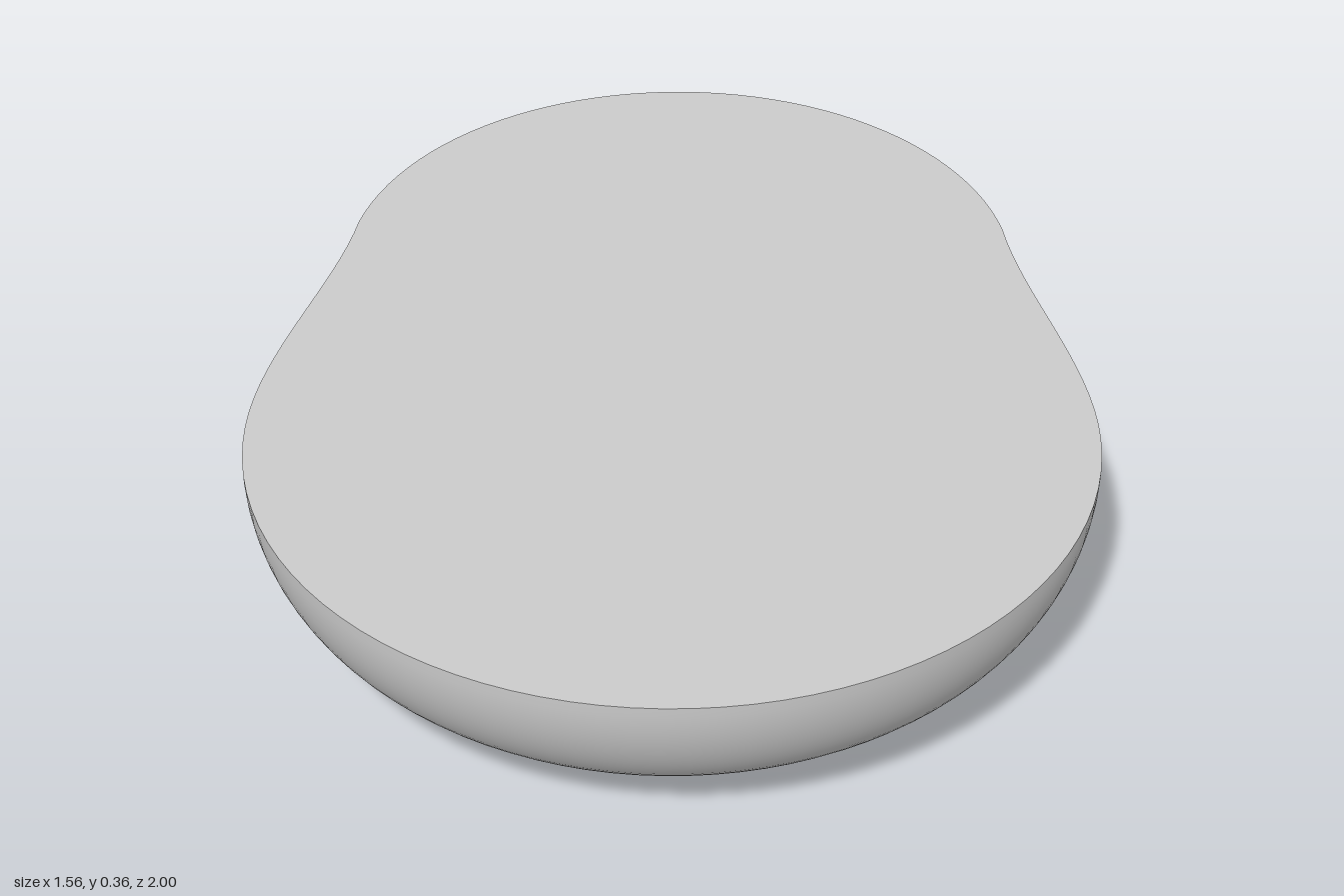
import * as THREE from 'three';

const TOP = 0.36, CZ = 0.22, R = 0.78;      // rim height, bowl centre and radius
const TAIL_Z = -0.35, TAIL_R = 0.65, JOIN = -0.48;
const FOOT_R = 0.29, FOOT_DEPTH = 0.022;
const { lerp, smoothstep } = THREE.MathUtils;

// Half width of the waist between the round bowl and the narrower tail
function waist(z) {
  const w0 = Math.sqrt(TAIL_R ** 2 - (JOIN - TAIL_Z) ** 2), L = CZ - JOIN, t = (z - JOIN) / L;
  return w0 * (2 * t ** 3 - 3 * t ** 2 + 1) + 0.12 * L * (t ** 3 - 2 * t ** 2 + t)
    + R * (3 * t ** 2 - 2 * t ** 3);
}

// Height of the rounded underside: a bowl in front that flattens and rises to the tail
function underside(x, z) {
  if (z >= CZ) {
    const u = Math.hypot(x, z - CZ) / R;
    return TOP * (1 - Math.sqrt(Math.max(0, 1 - u ** 4)));
  }
  const width = z > JOIN ? waist(z) : lerp(waist(JOIN), 0.53, (JOIN - z) / (1 + JOIN));
  const p = lerp(2, 4, smoothstep(z, -0.75, CZ));
  const floor = 0.07 * (1 - smoothstep(z, -1, 0));
  const u = Math.min(1, Math.abs(x) / width);
  return floor + (TOP - floor) * (1 - Math.sqrt(Math.max(0, 1 - u ** p)));
}

// Plan outline as [x, z], counter-clockwise from above, starting at the front
function planOutline() {
  const half = [];
  for (let i = 0; i < 24; i++) {
    const a = (i / 24) * Math.PI / 2;
    half.push([R * Math.sin(a), CZ + R * Math.cos(a)]);
  }
  for (let i = 0; i < 16; i++) {
    const z = lerp(CZ, JOIN, i / 16);
    half.push([waist(z), z]);
  }
  const a0 = Math.asin((TAIL_Z - JOIN) / TAIL_R);
  for (let i = 0; i <= 24; i++) {
    const a = lerp(a0, Math.PI / 2, i / 24);
    half.push([TAIL_R * Math.cos(a), TAIL_Z - TAIL_R * Math.sin(a)]);
  }
  const mirrored = half.slice(1, -1).reverse().map(([x, z]) => [-x, z]);
  return [...half, ...mirrored];
}

// Skin closed rings of [x, y, z] points
function loft(name, rings, material) {
  const n = rings[0].length, index = [];
  for (let j = 0; j < rings.length - 1; j++) {
    for (let i = 0; i < n; i++) {
      const k = (i + 1) % n;
      const a = j * n + i, b = j * n + k, c = b + n, d = a + n;
      index.push(a, b, c, a, c, d);
    }
  }
  const geometry = new THREE.BufferGeometry();
  geometry.setAttribute('position', new THREE.Float32BufferAttribute(rings.flat(2), 3));
  geometry.setIndex(index);
  geometry.computeVertexNormals();
  const mesh = new THREE.Mesh(geometry, material);
  mesh.name = name;
  return mesh;
}

export function createModel() {
  const group = new THREE.Group();
  group.name = 'roundedBase';
  const material = new THREE.MeshStandardMaterial({ color: 0xcccccc });
  const outline = planOutline();

  // Circle of the recessed foot, sampled along the same rays as the outline
  const foot = outline.map(([x, z]) => {
    const d = Math.hypot(x, z - CZ);
    return [x / d * FOOT_R, CZ + (z - CZ) / d * FOOT_R];
  });
  const flat = (pts, y) => pts.map(([x, z]) => [x, y, z]);
  const centre = (y) => outline.map(() => [0, y, CZ]);

  // Underside rings from the foot to the rim, closer together near the rim
  const STEPS = 28, rings = [];
  for (let j = 0; j <= STEPS; j++) {
    const s = 1 - (1 - j / STEPS) ** 2;
    rings.push(outline.map(([ox, oz], i) => {
      const x = lerp(foot[i][0], ox, s), z = lerp(foot[i][1], oz, s);
      return [x, underside(x, z), z];
    }));
  }
  const footEdge = rings[0], lowerEdge = rings[STEPS];
  const rim = flat(outline, TOP), recess = flat(foot, FOOT_DEPTH);

  group.add(
    loft('underside', rings, material),
    loft('tailWall', [lowerEdge, rim], material),
    loft('topFace', [rim, centre(TOP)], material),
    loft('footRecessWall', [recess, footEdge], material),
    loft('footRecessFace', [centre(FOOT_DEPTH), recess], material),
  );
  return group;
}
